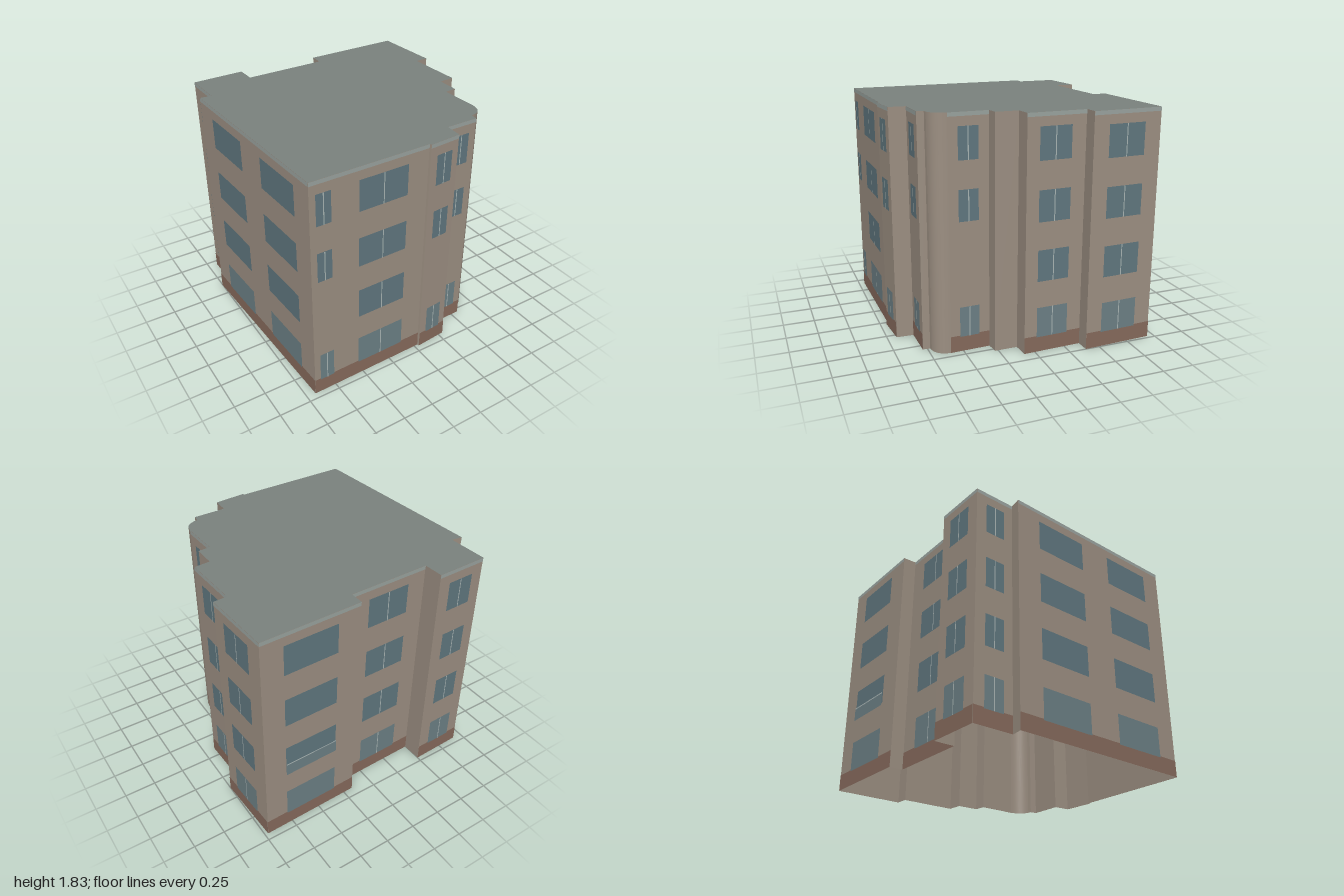
import * as THREE from 'three';

const H = 1.83;
const mat = (color) => new THREE.MeshStandardMaterial({ color, side: THREE.DoubleSide });

export function createModel() {
  const building = new THREE.Group();
  building.name = 'apartmentBuilding';
  const render = mat(0x9c8f82), plinthMat = mat(0x866a5c), roofMat = mat(0x7a827e);
  const corniceMat = mat(0x9aa39f), glass = mat(0x60777f), groundGlass = mat(0x6c8085), frame = mat(0xa9b5b4);

  const floors = [[0.12, 0.36], [0.57, 0.815], [1.03, 1.27], [1.485, 1.73]];
  const ALL = [0, 1, 2, 3], NO_FIRST = [0, 2, 3];

  // Footprint walls in order: start corner [x, z], facade details.
  // Window: from/to along the wall's main axis, floors, whether it has a mullion.
  const win = (from, to, rows = ALL, mullion = true) => ({ from, to, rows, mullion });
  const walls = [
    // back
    { p: [-0.92, -0.945], windows: [win(-0.82, -0.597)] },
    { p: [-0.5, -0.96] },
    { p: [-0.495, -0.8], windows: [win(-0.34, 0.015)] },
    { p: [0.17, -0.817] },
    { p: [0.17, -0.925], windows: [win(0.355, 0.795, ALL, false)], railing: true },
    // right side
    { p: [0.972, -0.945], windows: [win(-0.81, -0.51)] },
    { p: [0.997, -0.385] },
    { p: [0.89, -0.38], windows: [win(-0.265, -0.012)] },
    { p: [0.905, 0.087] },
    { p: [0.78, 0.097] },
    { p: [0.78, 0.277] },
    { p: [0.683, 0.287], windows: [win(0.37, 0.525, NO_FIRST)] },
    { p: [0.693, 0.6], curve: [0.69, 0.7] },
    // front
    { p: [0.6, 0.725] },
    { p: [0.57, 0.73] },
    { p: [0.565, 0.785], windows: [win(0.365, 0.505, NO_FIRST)] },
    { p: [0.3, 0.79] },
    { p: [0.293, 0.925], windows: [win(0.095, 0.235, NO_FIRST)] },
    { p: [0.035, 0.948] },
    { p: [0.03, 0.932], windows: [win(-0.545, -0.143), win(-0.88, -0.763, NO_FIRST)] },
    // left side
    { p: [-0.927, 0.95], windows: [win(-0.425, 0.03, ALL, false), win(0.318, 0.77, ALL, false)] },
    { p: [-1, -0.63] },
    { p: [-0.91, -0.62], windows: [win(-0.86, -0.7)] },
  ];

  // Upright panel on the wall a-b, between fractions s0..s1 and heights y0..y1
  function panel(parent, name, a, b, s0, s1, y0, y1, offset, material) {
    const dx = b[0] - a[0], dz = b[1] - a[1], len = Math.hypot(dx, dz);
    const s = (s0 + s1) / 2, nx = dz / len, nz = -dx / len;
    const mesh = new THREE.Mesh(new THREE.PlaneGeometry(Math.abs(s1 - s0) * len, y1 - y0), material);
    mesh.position.set(a[0] + dx * s + nx * offset, (y0 + y1) / 2, a[1] + dz * s + nz * offset);
    mesh.rotation.y = Math.atan2(nx, nz);
    mesh.name = name;
    parent.add(mesh);
  }

  const outline = new THREE.Shape();
  outline.moveTo(walls[0].p[0], -walls[0].p[1]);

  walls.forEach((wall, i) => {
    const a = wall.p, b = walls[(i + 1) % walls.length].p;

    // Rounded corner
    if (wall.curve) {
      const [cx, cz] = wall.curve;
      outline.quadraticCurveTo(cx, -cz, b[0], -b[1]);
      const arc = new THREE.QuadraticBezierCurve(
        new THREE.Vector2(...b), new THREE.Vector2(cx, cz), new THREE.Vector2(...a));
      const geo = new THREE.PlaneGeometry(1, H, 12, 1), pos = geo.attributes.position;
      for (let k = 0; k < pos.count; k++) {
        const q = arc.getPoint(pos.getX(k) + 0.5);
        pos.setXYZ(k, q.x, pos.getY(k) + H / 2, q.y);
      }
      geo.computeVertexNormals();
      const corner = new THREE.Mesh(geo, render);
      corner.name = 'roundedCorner';
      building.add(corner);
      return;
    }

    outline.lineTo(b[0], -b[1]);
    const facade = new THREE.Group();
    facade.name = wall.windows ? 'facade' : 'returnWall';
    building.add(facade);
    panel(facade, 'wall', a, b, 0, 1, 0, H, 0, render);
    if (!wall.windows) return;

    // Plinth and cornice bands
    panel(facade, 'plinth', a, b, 0, 1, 0, 0.13, 0.002, plinthMat);
    panel(facade, 'cornice', a, b, 0, 1, H - 0.03, H, 0.002, corniceMat);

    // Windows and mullions
    const axis = Math.abs(b[0] - a[0]) > Math.abs(b[1] - a[1]) ? 0 : 1;
    const span = b[axis] - a[axis];
    for (const w of wall.windows) {
      const s0 = (w.from - a[axis]) / span, s1 = (w.to - a[axis]) / span;
      const mid = (s0 + s1) / 2, half = 0.004 / Math.abs(span);
      for (const r of w.rows) {
        const [y0, y1] = floors[r];
        panel(facade, 'window', a, b, s0, s1, y0, y1, 0.004, r ? glass : groundGlass);
        if (w.mullion) panel(facade, 'mullion', a, b, mid - half, mid + half, y0, y1, 0.006, frame);
      }
      // Glazed guard with a handrail
      if (wall.railing) {
        panel(facade, 'guardPanel', a, b, s0, s1, 0.55, 0.65, 0.012, groundGlass);
        panel(facade, 'handrail', a, b, s0, s1, 0.65, 0.66, 0.013, frame);
      }
    }
  });

  // Flat roof
  const roof = new THREE.Mesh(new THREE.ShapeGeometry(outline, 12).rotateX(-Math.PI / 2), roofMat);
  roof.position.y = H;
  roof.name = 'roof';
  building.add(roof);
  return building;
}
